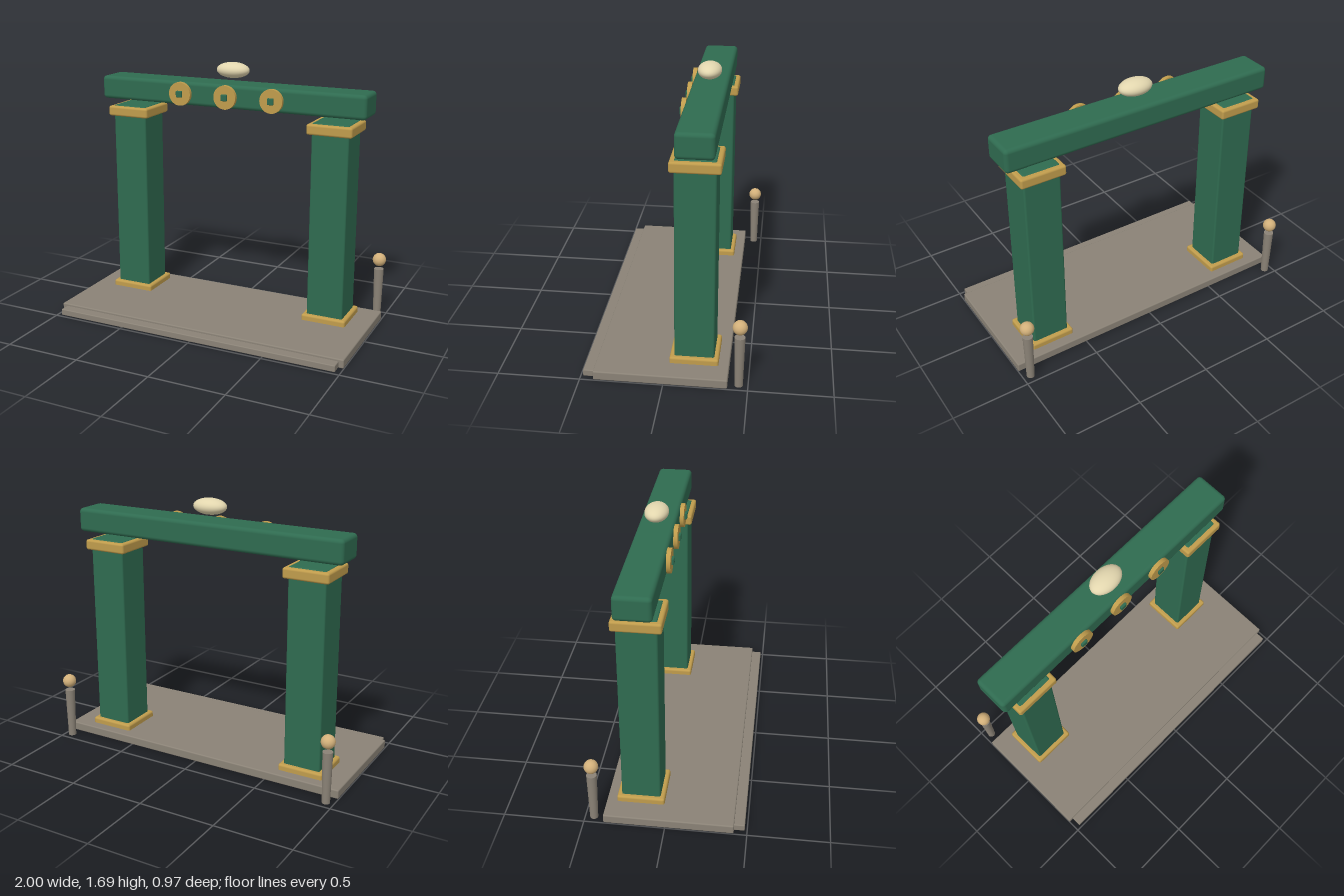
import * as THREE from 'three';
import { RoundedBoxGeometry } from 'three/addons/geometries/RoundedBoxGeometry.js';

export function createModel() {
  const model = new THREE.Group();
  model.name = 'gateway';
  const mat = (color) => new THREE.MeshStandardMaterial({ color });
  const green = mat(0x2f6b50), gold = mat(0xc09c4c), stone = mat(0x8a8276);
  const tan = mat(0xd2b07a), ivory = mat(0xe2d6ae);

  const add = (name, geometry, material, x, y, z, parent = model) => {
    const mesh = new THREE.Mesh(geometry, material);
    mesh.name = name;
    mesh.position.set(x, y, z);
    parent.add(mesh);
    return mesh;
  };
  // Softly bevelled box given by its minimum and maximum corners
  const block = (name, material, [x0, y0, z0], [x1, y1, z1], r, parent) =>
    add(name, new RoundedBoxGeometry(x1 - x0, y1 - y0, z1 - z0, 3, r), material,
      (x0 + x1) / 2, (y0 + y1) / 2, (z0 + z1) / 2, parent);

  // Platform with a low front step
  block('platform', stone, [-1, 0.005, -0.38], [1, 0.063, 0.42], 0.008);
  block('frontStep', stone, [-0.968, 0.005, 0.38], [0.968, 0.048, 0.485], 0.006);

  // Square pillars, each with a gold plinth and capital
  for (const [side, x] of [['right', -0.713], ['left', 0.71]]) {
    const pillar = new THREE.Group();
    pillar.name = side + 'Pillar';
    model.add(pillar);
    block('shaft', green, [x - 0.121, 0.003, -0.289], [x + 0.121, 1.367, -0.047], 0.012, pillar);
    block('plinth', gold, [x - 0.148, 0.01, -0.316], [x + 0.148, 0.102, -0.02], 0.014, pillar);
    block('capital', gold, [x - 0.148, 1.295, -0.316], [x + 0.148, 1.362, -0.02], 0.014, pillar);
  }

  // Crossbeam
  block('crossbeam', green, [-0.928, 1.404, -0.285], [0.928, 1.558, -0.06], 0.025);

  // Round medallions with a square stud on the front of the beam
  for (const x of [-0.323, 0, 0.32]) {
    const medallion = new THREE.Group();
    medallion.name = 'medallion';
    medallion.position.set(x, 1.48, -0.048);
    model.add(medallion);
    add('disc', new THREE.CylinderGeometry(0.077, 0.077, 0.027, 40), gold, 0, 0, 0, medallion)
      .rotation.x = Math.PI / 2;
    add('stud', new RoundedBoxGeometry(0.042, 0.042, 0.03, 2, 0.005), green, 0, 0, 0.013, medallion);
  }

  // Oval finial above the beam
  add('finial', new THREE.SphereGeometry(1, 40, 24), ivory, 0, 1.64, -0.17)
    .scale.set(0.112, 0.051, 0.075);

  // Tapered rear posts topped by floating balls
  for (const x of [-0.95, 0.95]) {
    const post = new THREE.Group();
    post.name = x < 0 ? 'rightPost' : 'leftPost';
    post.position.set(x, 0, -0.445);
    model.add(post);
    add('shaft', new THREE.CylinderGeometry(0.032, 0.025, 0.332, 24), stone, 0, 0.17, 0, post);
    add('ball', new THREE.SphereGeometry(0.044, 28, 18), tan, 0, 0.4, 0, post);
  }

  return model;
}
